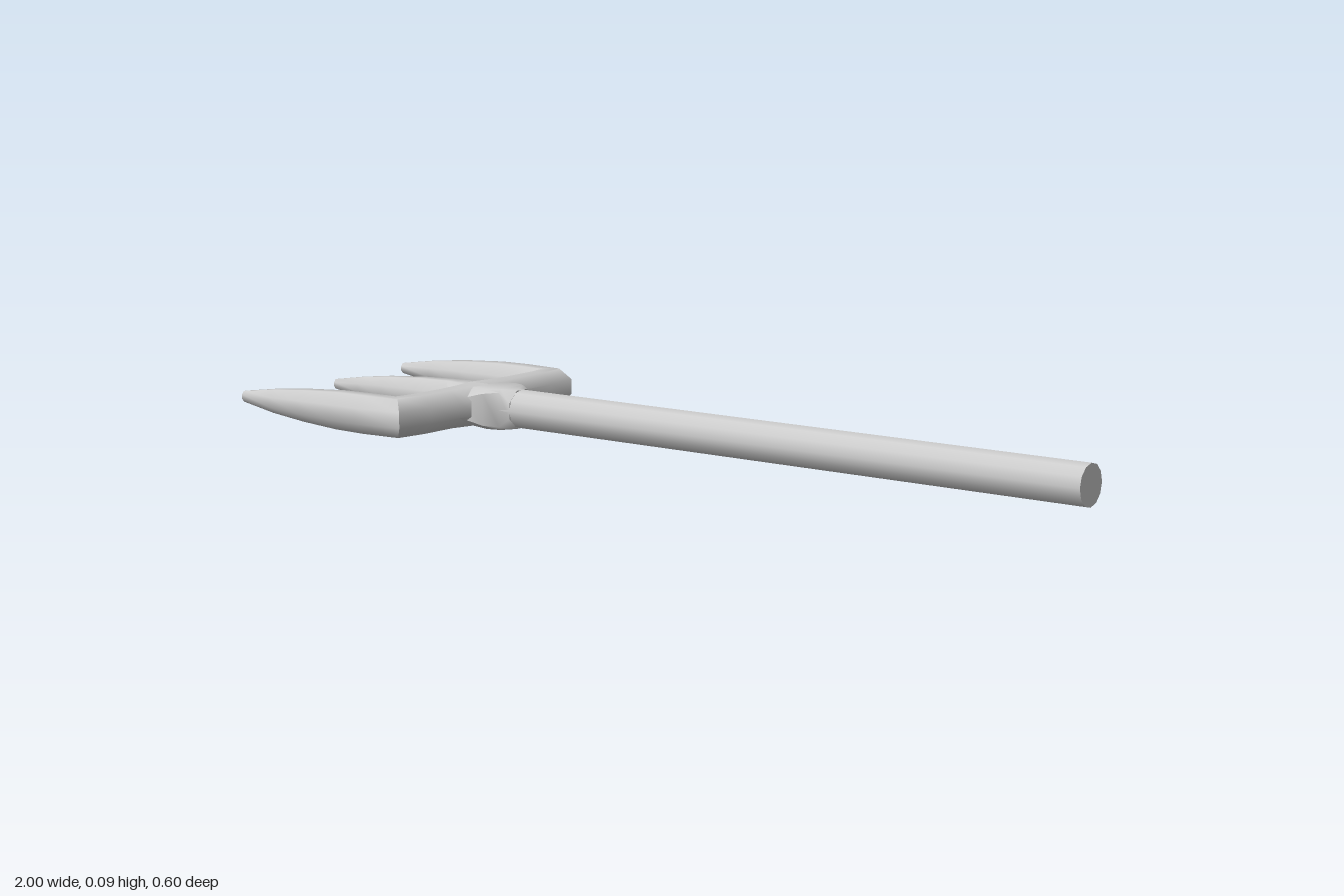
import * as THREE from 'three';
import { toCreasedNormals } from 'three/addons/utils/BufferGeometryUtils.js';

const material = new THREE.MeshStandardMaterial({ color: 0xcccccc });
const Y = 0.047; // height of the fork's centre line

// Loft of eight-sided rings. Each ring: x, z of its two side edges,
// half height, and chamfer (0.41 = regular octagon, towards 1 = square).
function loft(name, rings) {
  const pos = [], index = [], n = 8;
  for (const [xa, za, xb, zb, h, q = 0.41] of rings) {
    const corners = [[1, -q], [1, q], [q, 1], [-q, 1], [-1, q], [-1, -q], [-q, -1], [q, -1]];
    for (const [u, v] of corners) {
      pos.push((xa + xb) / 2 + u * (xa - xb) / 2, Y + v * h, (za + zb) / 2 + u * (za - zb) / 2);
    }
  }
  for (let i = 0; i < rings.length - 1; i++) {
    for (let j = 0; j < n; j++) {
      const a = i * n + j, b = i * n + (j + 1) % n;
      index.push(a, a + n, b, b, a + n, b + n);
    }
  }
  // end caps
  const last = (rings.length - 1) * n;
  for (let j = 1; j < n - 1; j++) {
    index.push(0, j, j + 1, last, last + j + 1, last + j);
  }
  const geo = new THREE.BufferGeometry();
  geo.setAttribute('position', new THREE.Float32BufferAttribute(pos, 3));
  geo.setIndex(index);
  const mesh = new THREE.Mesh(toCreasedNormals(geo, 0.9), material);
  mesh.name = name;
  return mesh;
}

export function createModel() {
  const group = new THREE.Group();
  group.name = 'trident';

  // outer prong, mitred corner and half of the crossbar
  const arm = [
    [-1, 0.27, -1, 0.25, 0.012],
    [-0.9, 0.286, -0.9, 0.238, 0.026],
    [-0.8, 0.296, -0.8, 0.229, 0.035],
    [-0.7, 0.301, -0.7, 0.222, 0.041],
    [-0.62, 0.302, -0.62, 0.219, 0.042],
    [-0.503, 0.288, -0.575, 0.225, 0.042],
    [-0.49, 0.2, -0.57, 0.2, 0.042],
    [-0.49, 0.11, -0.567, 0.11, 0.042],
    [-0.475, 0.065, -0.575, 0.05, 0.043],
    [-0.45, 0, -0.6, 0, 0.043],
  ];
  group.add(loft('leftArm', arm));
  group.add(loft('rightArm', arm.map(([xa, za, xb, zb, h]) => [xb, -zb, xa, -za, h])));

  // middle prong running into the squared hub and down to the shaft
  const middle = [
    [-0.96, 0.018, 0.002, 0.011],
    [-0.88, 0.024, -0.012, 0.023],
    [-0.8, 0.03, -0.021, 0.032],
    [-0.7, 0.037, -0.03, 0.039],
    [-0.61, 0.042, -0.036, 0.042],
    [-0.57, 0.055, -0.05, 0.042],
    [-0.5, 0.088, -0.068, 0.043, 0.55],
    [-0.455, 0.075, -0.052, 0.044, 0.8],
    [-0.425, 0.056, -0.032, 0.045, 0.85],
    [-0.395, 0.055, -0.029, 0.042],
  ];
  group.add(loft('middleProngAndHub', middle.map(([x, a, b, h, q]) => [x, a, x, b, h, q])));

  // shaft
  const shaftGeo = new THREE.CylinderGeometry(0.043, 0.043, 1.43, 12);
  shaftGeo.rotateZ(-Math.PI / 2);
  const shaft = new THREE.Mesh(shaftGeo, material);
  shaft.name = 'shaft';
  shaft.position.set(0.285, Y, 0.013);
  group.add(shaft);

  return group;
}
